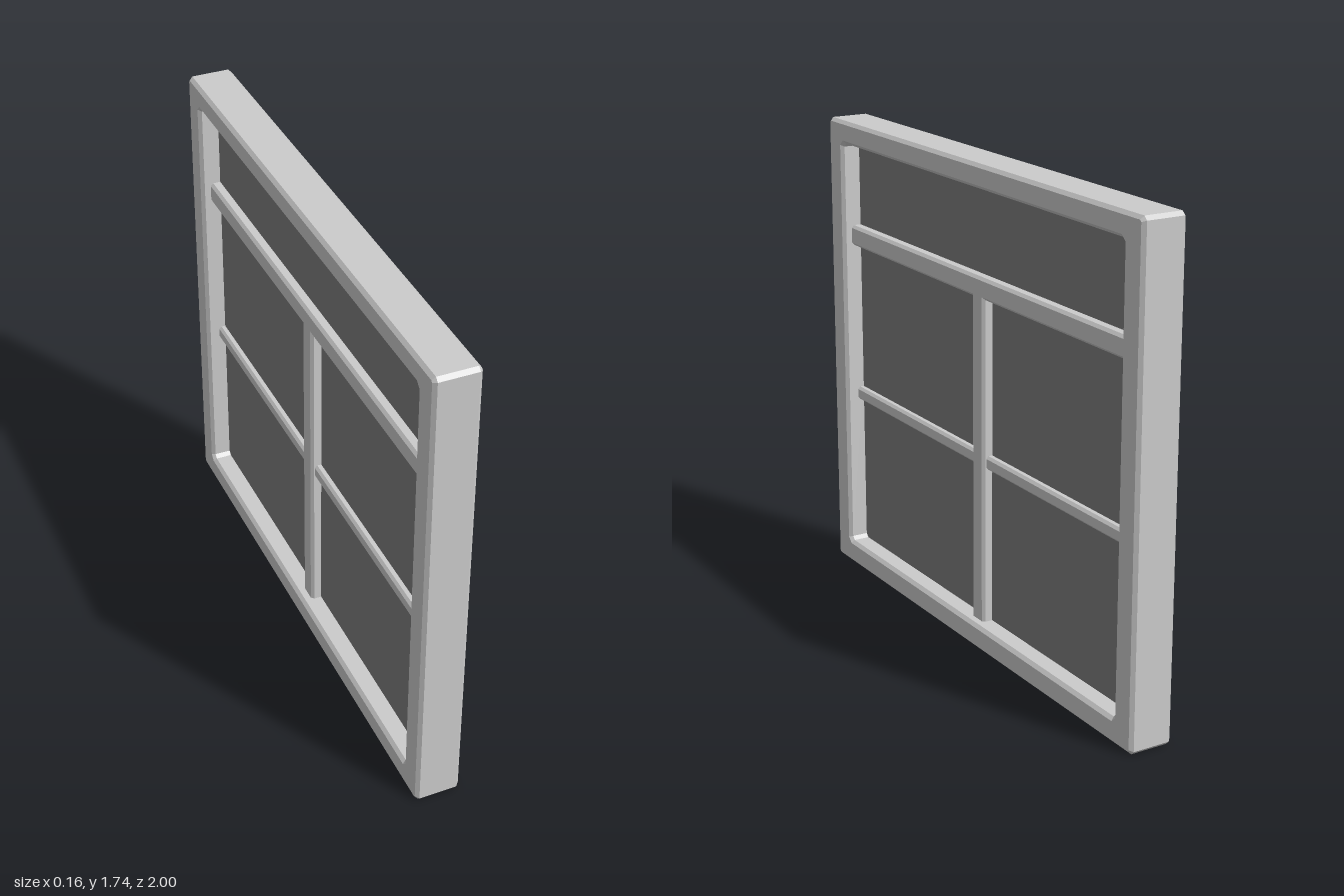
import * as THREE from 'three';

const frameMaterial = new THREE.MeshStandardMaterial({ color: 0xcccccc, flatShading: true });
const glassMaterial = new THREE.MeshStandardMaterial({ color: 0x7f7f7f });

// Corner points of a rectangle with its corners cut off by c
function cutRectangle(x0, y0, x1, y1, c) {
  return [
    [x0 + c, y0], [x1 - c, y0], [x1, y0 + c], [x1, y1 - c],
    [x1 - c, y1], [x0 + c, y1], [x0, y1 - c], [x0, y0 + c],
  ].map(([x, y]) => new THREE.Vector2(x, y));
}

function addMesh(group, name, geometry, material) {
  const mesh = new THREE.Mesh(geometry, material);
  mesh.name = name;
  group.add(mesh);
  return mesh;
}

// Chamfered bar running along z, centred on the origin
function barGeometry(depth, height, length, chamfer) {
  const profile = new THREE.Shape(cutRectangle(-depth / 2, -height / 2, depth / 2, height / 2, chamfer));
  return new THREE.ExtrudeGeometry(profile, { depth: length, bevelEnabled: false }).translate(0, 0, -length / 2);
}

export function createModel() {
  const group = new THREE.Group();
  group.name = 'window';

  // Outer frame with chamfered edges inside and out
  const bevel = 0.012;
  const thickness = 0.16;
  const outline = new THREE.Shape(cutRectangle(-1, 0, 1, 1.74, 0.013));
  outline.holes.push(new THREE.Path(cutRectangle(-0.9, 0.09, 0.9, 1.656, 0.013).reverse()));
  const frame = new THREE.ExtrudeGeometry(outline, {
    depth: thickness - 2 * bevel,
    bevelEnabled: true,
    bevelSize: bevel,
    bevelThickness: bevel,
    bevelOffset: -bevel,
    bevelSegments: 1,
  });
  frame.translate(0, 0, bevel - thickness / 2).rotateY(Math.PI / 2);
  addMesh(group, 'frame', frame, frameMaterial);

  // Glass pane, its edges let into the frame
  addMesh(group, 'glassPane', new THREE.BoxGeometry(0.016, 1.59, 1.82), glassMaterial)
    .position.set(0, 0.873, 0);

  // Transom under the top light
  addMesh(group, 'transom', barGeometry(0.09, 0.076, 1.82, 0.01), frameMaterial)
    .position.set(0, 1.306, 0);

  // Central mullion, from the sill to the transom
  addMesh(group, 'mullion', barGeometry(0.09, 0.076, 1.2, 0.01).rotateX(-Math.PI / 2), frameMaterial)
    .position.set(0, 0.68, -0.007);

  // Thin glazing bars on either side of the mullion
  for (const side of [1, -1]) {
    addMesh(group, side > 0 ? 'frontGlazingBar' : 'backGlazingBar', barGeometry(0.064, 0.05, 0.9, 0.009), frameMaterial)
      .position.set(0, 0.685, side * 0.46);
  }

  return group;
}
